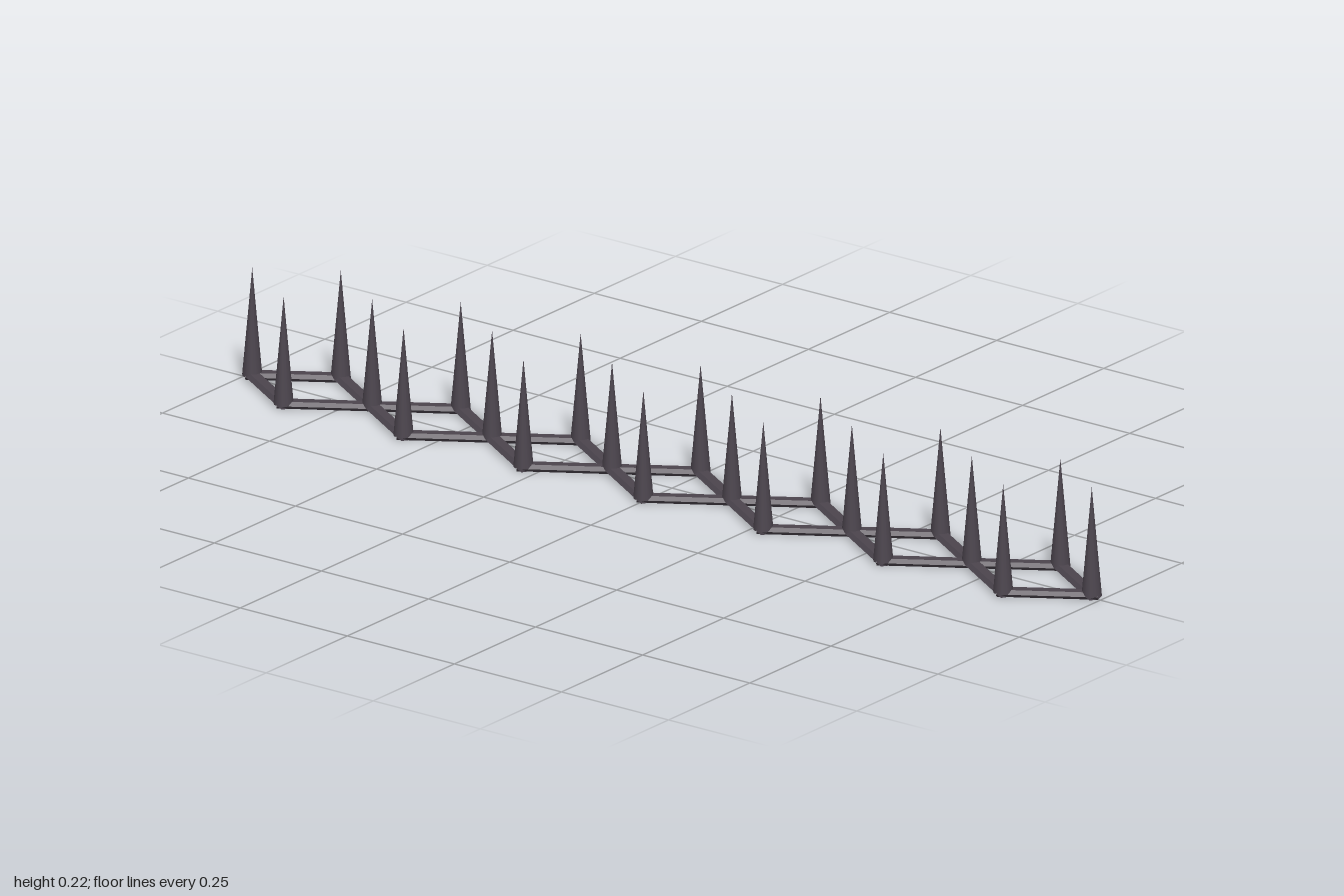
import * as THREE from 'three';

const CELLS = 7, HALF = 0.14, WAIST = 0.088; // diamonds in the chain, half length, half width
const BAR_H = 0.014, OVERHANG = 0.012;

// Flattened hexagonal bar running along +z, centred on its length
function barGeometry(length) {
  const h = BAR_H / 2;
  const profile = new THREE.Shape(
    [[0.016, 0], [0.009, h], [-0.009, h], [-0.016, 0], [-0.009, -h], [0.009, -h]]
      .map(([x, y]) => new THREE.Vector2(x, y)));
  const geo = new THREE.ExtrudeGeometry(profile, { depth: length, bevelEnabled: false });
  return geo.translate(0, 0, -length / 2);
}

export function createModel() {
  const model = new THREE.Group();
  model.name = 'spikeStrip';
  const material = new THREE.MeshStandardMaterial({ color: 0x4b444d });

  const bar = barGeometry(Math.hypot(HALF, WAIST) + OVERHANG * 2);
  const spikeBase = BAR_H / 2, spikeTop = 0.22;
  const spike = new THREE.ConeGeometry(0.019, spikeTop - spikeBase, 12);
  spike.translate(0, (spikeTop + spikeBase) / 2, 0);

  function add(geo, name, x, y, z, turn = 0) {
    const mesh = new THREE.Mesh(geo, material);
    mesh.name = name;
    mesh.position.set(x, y, z);
    mesh.rotation.y = turn;
    model.add(mesh);
  }

  // Lattice: two mirrored zigzags of bars forming a chain of diamonds
  for (let i = 0; i < CELLS * 2; i++) {
    const z = (i + 0.5 - CELLS) * HALF;
    const opening = i % 2 === 0 ? 1 : -1;
    for (const side of [-1, 1]) {
      add(bar, 'latticeBar', side * WAIST / 2, BAR_H / 2, z,
        Math.atan2(side * opening * WAIST, HALF));
    }
  }

  // Spikes: one on each crossing, a pair on each diamond's waist
  for (let i = 0; i <= CELLS * 2; i++) {
    const z = (i - CELLS) * HALF;
    for (const x of i % 2 === 0 ? [0] : [-WAIST, WAIST]) add(spike, 'spike', x, 0, z);
  }
  return model;
}
